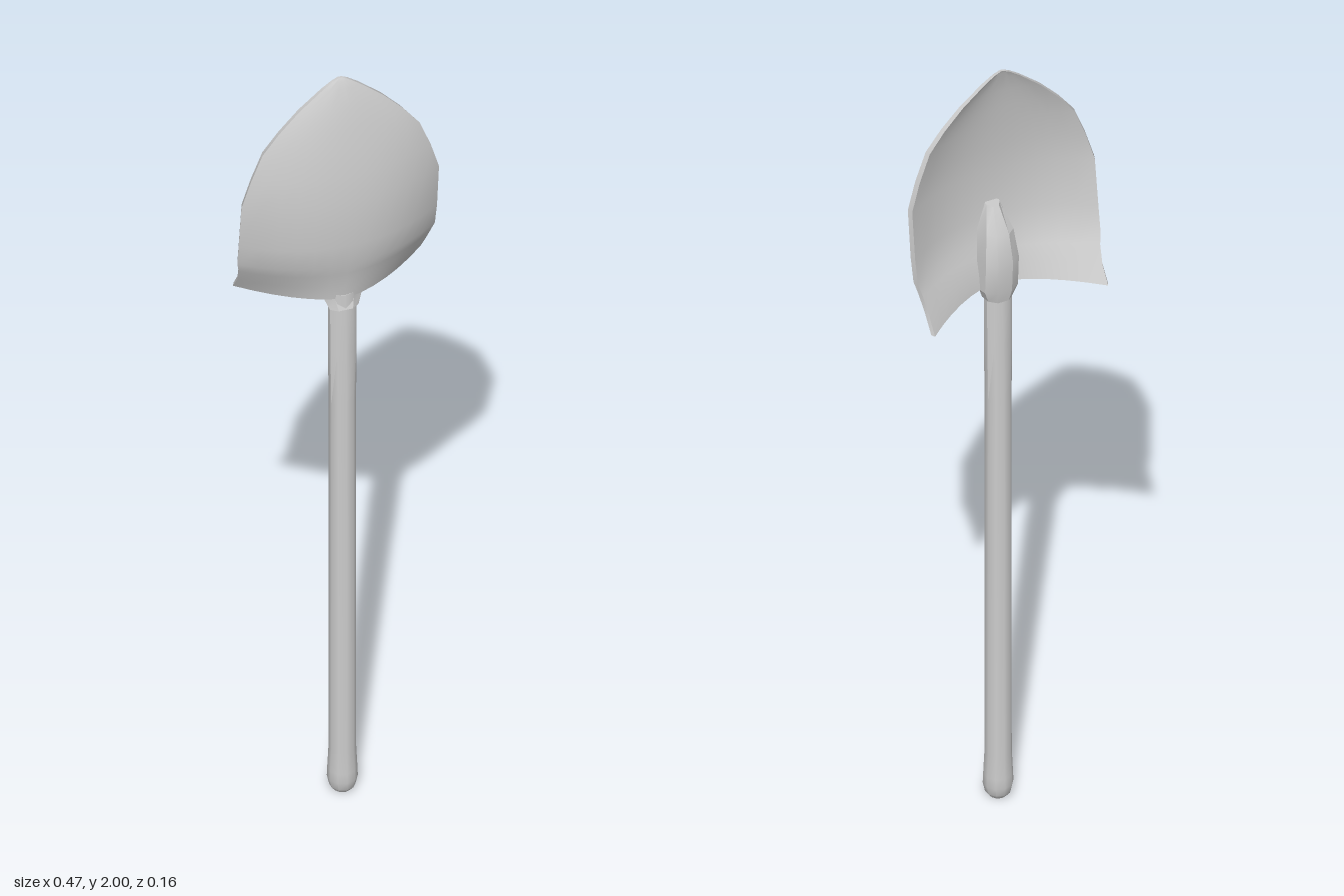
import * as THREE from 'three';
import { toCreasedNormals } from 'three/addons/utils/BufferGeometryUtils.js';

const material = new THREE.MeshStandardMaterial({ color: 0xcccccc });

// Skin closed loops stacked upwards; each loop runs along +x in front, back along -x behind.
function loft(name, rings, crease) {
  const n = rings[0].length, top = (rings.length - 1) * n, index = [];
  for (let r = 0; r < rings.length - 1; r++) {
    for (let i = 0; i < n; i++) {
      const a = r * n + i, b = r * n + (i + 1) % n;
      index.push(a, b, b + n, a, b + n, a + n);
    }
  }
  // End caps, bridging the front points to the back points
  for (let i = 0; i < n / 2 - 1; i++) {
    const f = i, g = i + 1, b = n - 1 - i, c = n - 2 - i;
    index.push(b, c, g, b, g, f);
    index.push(top + b, top + g, top + c, top + b, top + f, top + g);
  }
  const geometry = new THREE.BufferGeometry();
  geometry.setAttribute('position', new THREE.Float32BufferAttribute(rings.flat(2), 3));
  geometry.setIndex(index);
  const mesh = new THREE.Mesh(toCreasedNormals(geometry, crease), material);
  mesh.name = name;
  return mesh;
}

function ellipse(y, rx, rz, z, sides) {
  return Array.from({ length: sides }, (_, i) => {
    const t = -Math.PI / 2 + (i + 0.5) * 2 * Math.PI / sides;
    return [rx * Math.sin(t), y, z + rz * Math.cos(t)];
  });
}

// Dished section: half width, front z at the middle, back z at the rim, curve power
function bladeSection([y, w, zMid, zRim, power, thick]) {
  const steps = 12, front = [], back = [];
  for (let i = 0; i <= steps; i++) {
    const u = -1 + 2 * i / steps;
    const z = zMid - (zMid - zRim - thick) * Math.abs(u) ** power;
    front.push([w * u, y, z]);
    back.unshift([w * u * 0.98, y, z - thick]);
  }
  return [...front, ...back];
}

export function createModel() {
  const model = new THREE.Group();
  model.name = 'shovel';

  // Long handle with a rounded, swollen butt and a flattened top
  const handle = [
    [0, 0.02, 0.02], [0.012, 0.03, 0.03], [0.035, 0.035, 0.035], [0.06, 0.034, 0.034],
    [0.12, 0.031, 0.032], [1.1, 0.031, 0.03], [1.25, 0.033, 0.027], [1.41, 0.033, 0.023],
  ];
  model.add(loft('handle', handle.map(([y, rx, rz]) => ellipse(y, rx, rz, 0.033, 10)), 0.7));

  // Pointed blade, its lower corners swept back
  const blade = [
    [1.4, 0.223, 0.053, -0.083, 1.6, 0.01],
    [1.44, 0.223, 0.058, -0.055, 1.7, 0.012],
    [1.48, 0.228, 0.067, -0.034, 1.9, 0.013],
    [1.51, 0.235, 0.074, -0.022, 2.1, 0.013],
    [1.57, 0.236, 0.082, -0.01, 2.2, 0.013],
    [1.69, 0.235, 0.082, 0.006, 2.2, 0.013],
    [1.76, 0.214, 0.075, 0.01, 2.2, 0.013],
    [1.83, 0.187, 0.066, 0.012, 2.1, 0.013],
    [1.88, 0.148, 0.056, 0.013, 2, 0.012],
    [1.93, 0.1, 0.046, 0.013, 2, 0.011],
    [1.975, 0.045, 0.031, 0.013, 2, 0.009],
    [1.992, 0.02, 0.024, 0.013, 2, 0.008],
    [2, 0.003, 0.02, 0.013, 2, 0.006],
  ];
  model.add(loft('blade', blade.map(bladeSection), 0.7));

  // Faceted socket on the back of the blade: half width, back z, front z
  const socket = [
    [1.37, 0.034, 0.006, 0.058], [1.4, 0.046, 0.0, 0.048], [1.48, 0.046, -0.005, 0.06],
    [1.55, 0.038, 0.008, 0.074], [1.61, 0.018, 0.042, 0.076],
  ];
  model.add(loft('socket', socket.map(([y, w, zBack, zFront]) => [
    [-w, y, zFront - 0.012], [-w * 0.5, y, zFront], [w * 0.5, y, zFront], [w, y, zFront - 0.012],
    [w * 0.9, y, zBack + 0.016], [w * 0.4, y, zBack], [-w * 0.4, y, zBack], [-w * 0.9, y, zBack + 0.016],
  ]), 0.35));

  return model;
}
